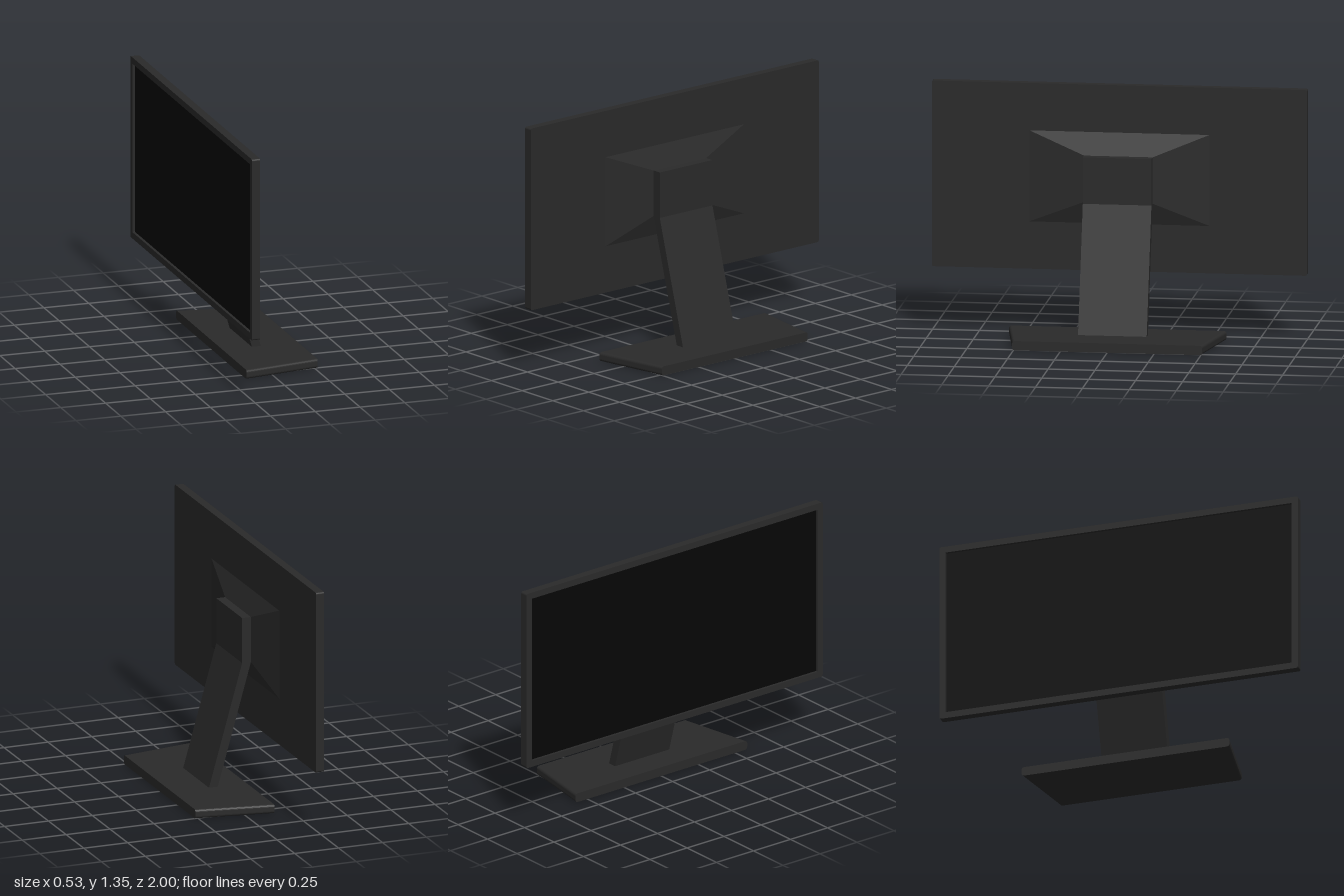
import * as THREE from 'three';

const body = new THREE.MeshStandardMaterial({ color: 0x2a2a2a });
const black = new THREE.MeshStandardMaterial({ color: 0x060606 });

// Rounded rectangle centred on the origin
function roundedRect(w, h, r, PathType = THREE.Shape) {
  const p = new PathType();
  const x = w / 2, y = h / 2;
  p.moveTo(-x + r, -y);
  p.lineTo(x - r, -y);
  p.absarc(x - r, -y + r, r, -Math.PI / 2, 0);
  p.lineTo(x, y - r);
  p.absarc(x - r, y - r, r, 0, Math.PI / 2);
  p.lineTo(-x + r, y);
  p.absarc(-x + r, y - r, r, Math.PI / 2, Math.PI);
  p.lineTo(-x, -y + r);
  p.absarc(-x + r, -y + r, r, Math.PI, Math.PI * 1.5);
  return p;
}

// Extrude a z-y outline along x, from x0 to x1
function extrudeAlongX(shape, x0, x1, y) {
  const g = new THREE.ExtrudeGeometry(shape, { depth: x1 - x0, bevelEnabled: false, curveSegments: 4 });
  return g.rotateY(Math.PI / 2).translate(x0, y, 0);
}

// Apply a rule to every vertex
function reshape(g, rule) {
  const p = g.attributes.position, v = new THREE.Vector3();
  for (let i = 0; i < p.count; i++) {
    rule(v.fromBufferAttribute(p, i));
    p.setXYZ(i, v.x, v.y, v.z);
  }
  g.computeVertexNormals();
  return g;
}

export function createModel() {
  const model = new THREE.Group();
  model.name = 'monitor';
  const add = (name, geometry, material = body) => {
    const mesh = new THREE.Mesh(geometry, material);
    mesh.name = name;
    model.add(mesh);
  };

  const midY = 0.845, w = 2, h = 1, bezel = 0.035;

  // Bezel ring around the recessed screen, closed by the rear housing
  const ring = roundedRect(w, h, 0.01);
  ring.holes.push(roundedRect(w - 2 * bezel, h - 2 * bezel, 0.002, THREE.Path));
  add('bezel', extrudeAlongX(ring, -0.268, -0.252, midY));
  add('rearHousing', extrudeAlongX(roundedRect(w, h, 0.01), -0.252, -0.222, midY));

  // Display surface, facing -x
  const screen = new THREE.PlaneGeometry(w - 2 * bezel, h - 2 * bezel);
  add('screen', screen.rotateY(-Math.PI / 2).translate(-0.253, midY, 0), black);

  // Tapered mount between housing and stand
  const mount = reshape(new THREE.BoxGeometry(0.042, 1, 1), (v) => {
    const outer = v.x > 0;
    v.y *= outer ? 0.25 : 0.49;
    v.z *= outer ? 0.366 : 0.96;
  });
  add('rearMount', mount.translate(-0.201, midY, 0));

  // Bent stand arm
  const arm = new THREE.Shape([
    [-0.18, 0.97], [-0.18, 0.72], [0.01, 0.045], [0.06, 0.045], [-0.13, 0.72], [-0.13, 0.97],
  ].map(([x, y]) => new THREE.Vector2(x, y)));
  const armGeometry = new THREE.ExtrudeGeometry(arm, { depth: 0.366, bevelEnabled: false });
  add('standArm', armGeometry.translate(0, 0, -0.183));

  // Base plate, narrowing away from the screen
  const base = extrudeAlongX(roundedRect(1.16, 0.05, 0.015), -0.155, 0.266, 0.025);
  add('base', reshape(base, (v) => {
    v.z *= 1 - 0.127 * (v.x + 0.155) / 0.421;
  }));

  return model;
}
